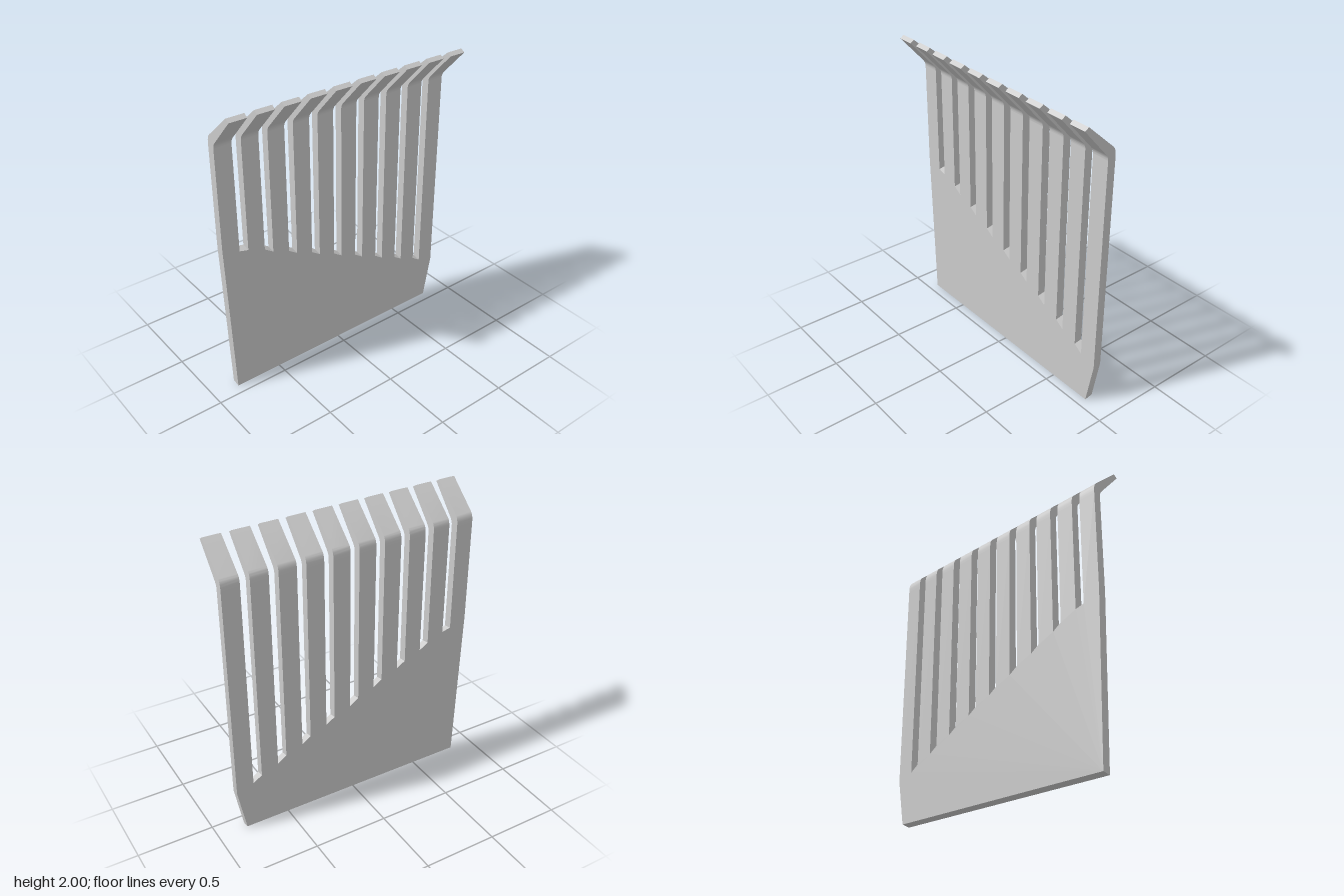
import * as THREE from 'three';
import { toCreasedNormals } from 'three/addons/utils/BufferGeometryUtils.js';

const TINES = 10, PITCH = 0.1776, WIDTH = 0.1166, LEFT = -0.857;
const BACK = -0.12, FRONT = -0.065;
const BEND_Y = 1.755;                                // where the tines start to bend
const drop = (x) => -0.0168 * (x - LEFT);            // tops fall slightly towards +x
const tineX = (i) => LEFT + i * PITCH;

// Apply a rule to every vertex, then smooth only the shallow edges
function finish(geometry, rule) {
  const p = geometry.attributes.position, v = new THREE.Vector3();
  for (let i = 0; i < p.count; i++) {
    rule(v.fromBufferAttribute(p, i));
    p.setXYZ(i, v.x, v.y, v.z);
  }
  return toCreasedNormals(geometry, 0.4);
}

// Flat plate with the straight part of the tines, slots stepping down to +x
function plateGeometry() {
  const right = tineX(TINES - 1) + WIDTH;
  const s = new THREE.Shape();
  s.moveTo(-0.825, 0);
  s.lineTo(0.804, 0);
  s.lineTo(right, 0.295);
  for (let i = TINES - 1; i >= 0; i--) {
    const a = tineX(i), b = a + WIDTH;
    s.lineTo(b, BEND_Y + drop(b));
    s.lineTo(a, BEND_Y + drop(a));
    if (i > 0) {
      const first = i === 1;                         // highest slot has a flatter floor
      const y = first ? 1.028 : 0.967 - 0.0849 * (i - 2);
      s.lineTo(a, y - (first ? 0.016 : 0.041));
      s.lineTo(a - PITCH + WIDTH, y);
    }
  }
  s.lineTo(LEFT, 1.08);
  const g = new THREE.ExtrudeGeometry(s, { depth: FRONT - BACK, bevelEnabled: false });
  g.translate(0, 0, BACK);
  // Bottom edge and slot floors rise a little towards the back
  return finish(g, (v) => {
    if (v.z < (FRONT + BACK) / 2 && v.y < 1.2) v.y += 0.01;
  });
}

// Bent, tapering tip, drawn in side profile (z, y)
function tipGeometry(x) {
  const s = new THREE.Shape();
  s.moveTo(FRONT, BEND_Y);
  s.lineTo(BACK, BEND_Y);
  s.lineTo(BACK, 1.77);
  s.quadraticCurveTo(BACK, 1.812, -0.1, 1.83);
  s.lineTo(0.093, 2);
  s.lineTo(0.12, 1.982);
  s.lineTo(-0.045, 1.8);
  s.quadraticCurveTo(FRONT, 1.778, FRONT, BEND_Y);
  const g = new THREE.ExtrudeGeometry(s, { depth: WIDTH, bevelEnabled: false, curveSegments: 8 });
  g.rotateY(-Math.PI / 2).translate(x + WIDTH, 0, 0);
  return finish(g, (v) => { v.y += drop(v.x); });
}

export function createModel() {
  const group = new THREE.Group();
  group.name = 'slottedPlate';
  const material = new THREE.MeshStandardMaterial({ color: 0xcccccc });
  const add = (name, geometry) => {
    const mesh = new THREE.Mesh(geometry, material);
    mesh.name = name;
    group.add(mesh);
  };
  add('plate', plateGeometry());
  for (let i = 0; i < TINES; i++) add(`tineTip${i + 1}`, tipGeometry(tineX(i)));
  return group;
}
